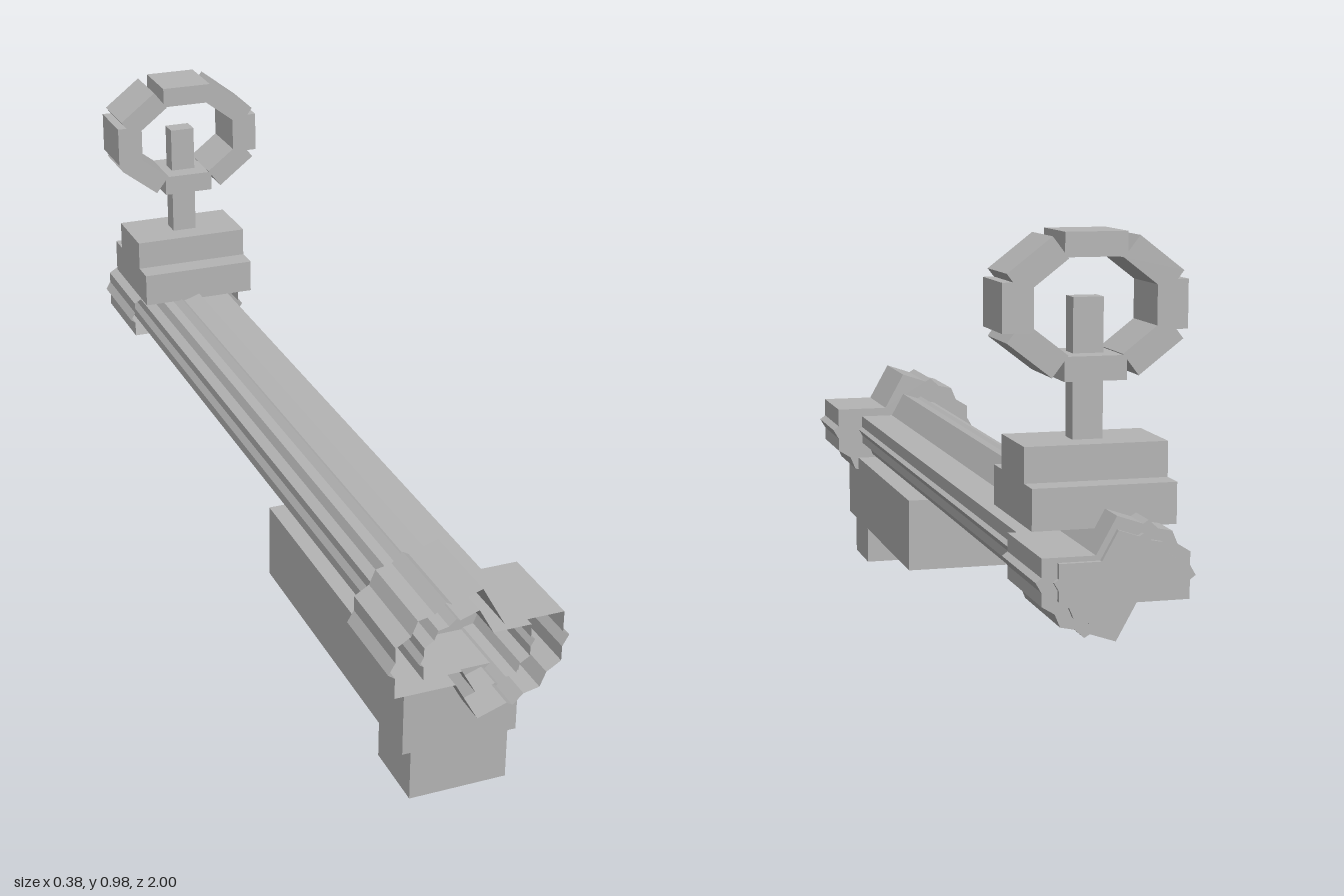
import * as THREE from 'three';

const grey = new THREE.MeshStandardMaterial({ color: 0xb4b4b4, side: THREE.DoubleSide, flatShading: true });
grey.name = 'plain grey';

// Half of the jagged tube profile; the other half is its half-turn copy
const half = [
  [0, 0.145], [-0.062, 0.124], [-0.075, 0.132], [-0.098, 0.111], [-0.132, 0.104], [-0.145, 0.073],
  [-0.176, 0.054], [-0.176, 0.022], [-0.19, -0.002], [-0.176, -0.012], [-0.176, -0.057], [-0.049, -0.057],
];
const profile = [...half, ...half.map(([x, y]) => [-x, -y])];

function box(parent, name, [x0, x1], [y0, y1], [z0, z1]) {
  const mesh = new THREE.Mesh(new THREE.BoxGeometry(x1 - x0, y1 - y0, z1 - z0), grey);
  mesh.position.set((x0 + x1) / 2, (y0 + y1) / 2, (z0 + z1) / 2);
  mesh.name = name;
  parent.add(mesh);
  return mesh;
}

// Tube with the jagged profile: open at the front, closed at the rear
function jaggedTube(parent, name, scale, zBack, zFront) {
  const tube = new THREE.Group();
  tube.name = name;
  tube.position.y = 0.355;
  const pts = profile.map(([x, y]) => new THREE.Vector2(x * scale, y * scale));
  const pos = [];
  pts.forEach((a, i) => {
    const b = pts[(i + 1) % pts.length];
    pos.push(a.x, a.y, zBack, b.x, b.y, zBack, b.x, b.y, zFront);
    pos.push(a.x, a.y, zBack, b.x, b.y, zFront, a.x, a.y, zFront);
  });
  const geo = new THREE.BufferGeometry();
  geo.setAttribute('position', new THREE.Float32BufferAttribute(pos, 3));
  geo.computeVertexNormals();
  const wall = new THREE.Mesh(geo, grey);
  wall.name = name + 'Wall';
  const cap = new THREE.Mesh(new THREE.ShapeGeometry(new THREE.Shape(pts)), grey);
  cap.name = name + 'RearCap';
  cap.rotation.y = Math.PI;
  cap.scale.x = -1; // keeps the outline matched to the wall
  cap.position.z = zBack;
  tube.add(wall, cap);
  parent.add(tube);
}

export function createModel() {
  const model = new THREE.Group();
  model.name = 'sightedTube';

  // Long tube with a collar at each end
  jaggedTube(model, 'mainTube', 0.64, -1, 0.99);
  jaggedTube(model, 'frontCollar', 1, 0.8, 1);
  jaggedTube(model, 'rearCollar', 0.81, -0.99, -0.76);

  // Block and foot under the front
  box(model, 'underBlock', [-0.124, 0.123], [0.11, 0.28], [0.19, 0.93]);
  box(model, 'foot', [-0.106, 0.105], [0, 0.11], [0.775, 0.93]);

  // Stepped base and post of the sight
  box(model, 'sightBaseLower', [-0.141, 0.141], [0.436, 0.516], [-0.92, -0.655]);
  box(model, 'sightBaseUpper', [-0.141, 0.141], [0.516, 0.585], [-0.868, -0.71]);
  box(model, 'sightPost', [-0.03, 0.03], [0.585, 0.855], [-0.81, -0.765]);

  // Sight ring of eight blocks
  const ring = new THREE.Group();
  ring.name = 'sightRing';
  ring.position.set(0, 0.841, -0.789);
  model.add(ring);
  const depth = [-0.068, 0.068];
  for (const s of [-1, 1]) {
    box(ring, 'ringFlat', [-0.061, 0.061], s > 0 ? [0.092, 0.139] : [-0.139, -0.092], depth);
    box(ring, 'ringSide', s > 0 ? [0.12, 0.181] : [-0.181, -0.12], [-0.046, 0.048], depth);
    for (const t of [-1, 1]) {
      const block = box(ring, 'ringDiagonal', [-0.055, 0.055], [-0.026, 0.026], depth);
      block.position.set(s * 0.1125, t * 0.077, 0);
      block.rotation.z = -s * t * 0.656;
    }
  }
  return model;
}
